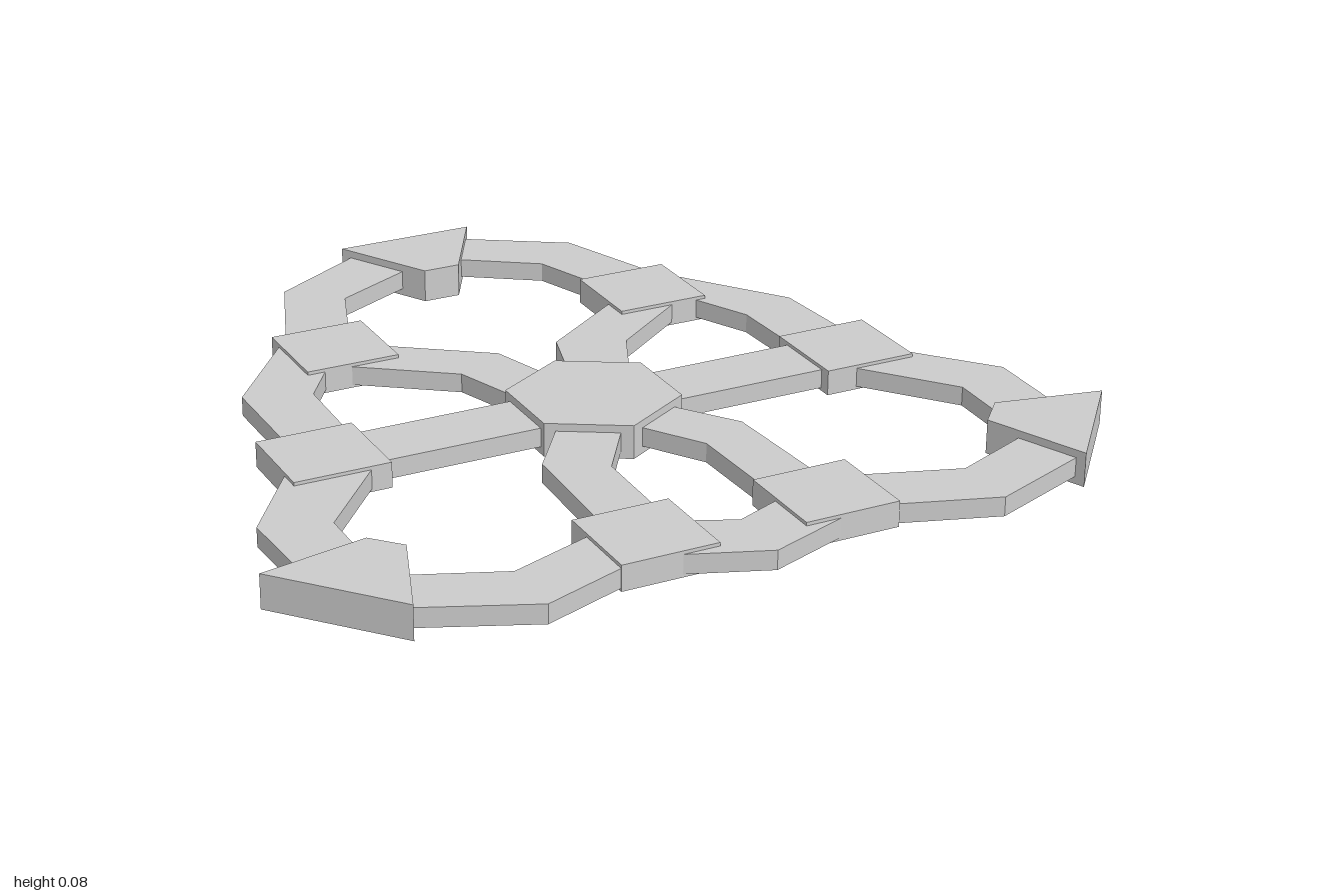
import * as THREE from 'three';

const material = new THREE.MeshStandardMaterial({ color: 0xcccccc, flatShading: true });

// Flat plate: an outline of [x, z] corners raised from y0 to y1
function slab(name, outline, y0, y1) {
  const shape = new THREE.Shape(outline.map(([x, z]) => new THREE.Vector2(x, -z)));
  const geometry = new THREE.ExtrudeGeometry(shape, { depth: y1 - y0, bevelEnabled: false });
  geometry.rotateX(-Math.PI / 2);
  geometry.translate(0, y0, 0);
  const mesh = new THREE.Mesh(geometry, material);
  mesh.name = name;
  return mesh;
}

// Lengthen an edge at both ends so that arms run into their plates
function extend(edge, d = 0.04) {
  const push = ([ax, az], [bx, bz]) => {
    const l = Math.hypot(ax - bx, az - bz);
    return [ax + (ax - bx) * d / l, az + (az - bz) * d / l];
  };
  const n = edge.length;
  return [push(edge[0], edge[1]), ...edge.slice(1, -1), push(edge[n - 1], edge[n - 2])];
}

// Bent arm between two edges running the same way
const arm = (name, a, b) => slab(name, [...extend(a), ...extend(b).reverse()], 0.017, 0.062);

export function createModel() {
  const group = new THREE.Group();

  // Hexagonal hub
  const hexagon = [];
  for (let i = 0; i < 6; i++) {
    const t = i * Math.PI / 3;
    hexagon.push([-0.02 + 0.197 * Math.sin(t), 0.112 + 0.197 * Math.cos(t)]);
  }
  group.add(slab('hub', hexagon, 0, 0.08));

  // Corner plates
  group.add(
    slab('backCorner', [[-0.19, -0.94], [0.15, -0.94], [0.025, -0.715], [-0.065, -0.715]], 0, 0.08),
    slab('rightCorner', [[-1, 0.595], [-0.75, 0.545], [-0.69, 0.61], [-0.78, 0.85]], 0, 0.08),
    slab('leftCorner', [[1, 0.607], [0.75, 0.555], [0.685, 0.625], [0.78, 0.862]], 0, 0.08),
  );

  // Square joint plates, placed by their back right corner
  const joints = {
    backRightJoint: [-0.54, -0.52], backLeftJoint: [0.26, -0.52],
    middleRightJoint: [-0.78, 0], middleLeftJoint: [0.52, 0],
    frontRightJoint: [-0.335, 0.64], frontLeftJoint: [0.09, 0.64],
  };
  const s = 0.224;
  for (const [name, [x, z]] of Object.entries(joints)) {
    group.add(slab(name, [[x, z], [x + s, z], [x + s, z + s], [x, z + s]], 0.01, 0.07));
  }

  // Rim arms
  group.add(
    arm('backRightRim',
      [[-0.187, -0.91], [-0.406, -0.783], [-0.497, -0.543]],
      [[-0.11, -0.77], [-0.29, -0.68], [-0.348, -0.52]]),
    arm('backLeftRim',
      [[0.14, -0.9], [0.353, -0.767], [0.444, -0.52]],
      [[0.075, -0.775], [0.23, -0.67], [0.283, -0.52]]),
    arm('rightSideRim',
      [[-0.54, -0.475], [-0.717, -0.249], [-0.717, 0]],
      [[-0.497, -0.297], [-0.567, -0.195], [-0.572, 0]]),
    arm('leftSideRim',
      [[0.48, -0.463], [0.668, -0.21], [0.684, 0]],
      [[0.46, -0.297], [0.524, -0.163], [0.53, 0]]),
    arm('rightOuterRim',
      [[-0.78, 0.17], [-0.92, 0.37], [-0.912, 0.575]],
      [[-0.6, 0.22], [-0.77, 0.42], [-0.77, 0.55]]),
    arm('leftOuterRim',
      [[0.743, 0.185], [0.898, 0.366], [0.893, 0.58]],
      [[0.594, 0.222], [0.754, 0.42], [0.749, 0.564]]),
    arm('frontRightRim',
      [[-0.727, 0.698], [-0.53, 0.778], [-0.335, 0.708]],
      [[-0.77, 0.83], [-0.53, 0.932], [-0.337, 0.863]]),
    arm('frontRim',
      [[-0.112, 0.735], [-0.016, 0.778], [0.09, 0.735]],
      [[-0.198, 0.863], [-0.016, 0.932], [0.176, 0.863]]),
    arm('frontLeftRim',
      [[0.314, 0.705], [0.53, 0.778], [0.738, 0.692]],
      [[0.32, 0.863], [0.53, 0.932], [0.775, 0.838]]),
  );

  // Spokes from the hub to the joints
  group.add(
    arm('backRightSpoke',
      [[-0.316, -0.372], [-0.1, -0.217], [-0.053, -0.067]],
      [[-0.433, -0.297], [-0.225, -0.147], [-0.18, -0.013]]),
    arm('backLeftSpoke',
      [[0.26, -0.366], [0.048, -0.217], [0.005, -0.072]],
      [[0.396, -0.297], [0.198, -0.152], [0.134, -0.013]]),
    arm('frontRightSpoke',
      [[-0.171, 0.227], [-0.267, 0.36], [-0.278, 0.628]],
      [[-0.053, 0.307], [-0.139, 0.435], [-0.144, 0.645]]),
    arm('frontLeftSpoke',
      [[0.134, 0.24], [0.22, 0.36], [0.235, 0.628]],
      [[0.02, 0.307], [0.096, 0.425], [0.102, 0.645]]),
    arm('rightSpoke', [[-0.56, 0.037], [-0.19, 0.037]], [[-0.56, 0.195], [-0.19, 0.195]]),
    arm('leftSpoke', [[0.15, 0.037], [0.52, 0.037]], [[0.15, 0.195], [0.52, 0.195]]),
  );

  return group;
}
